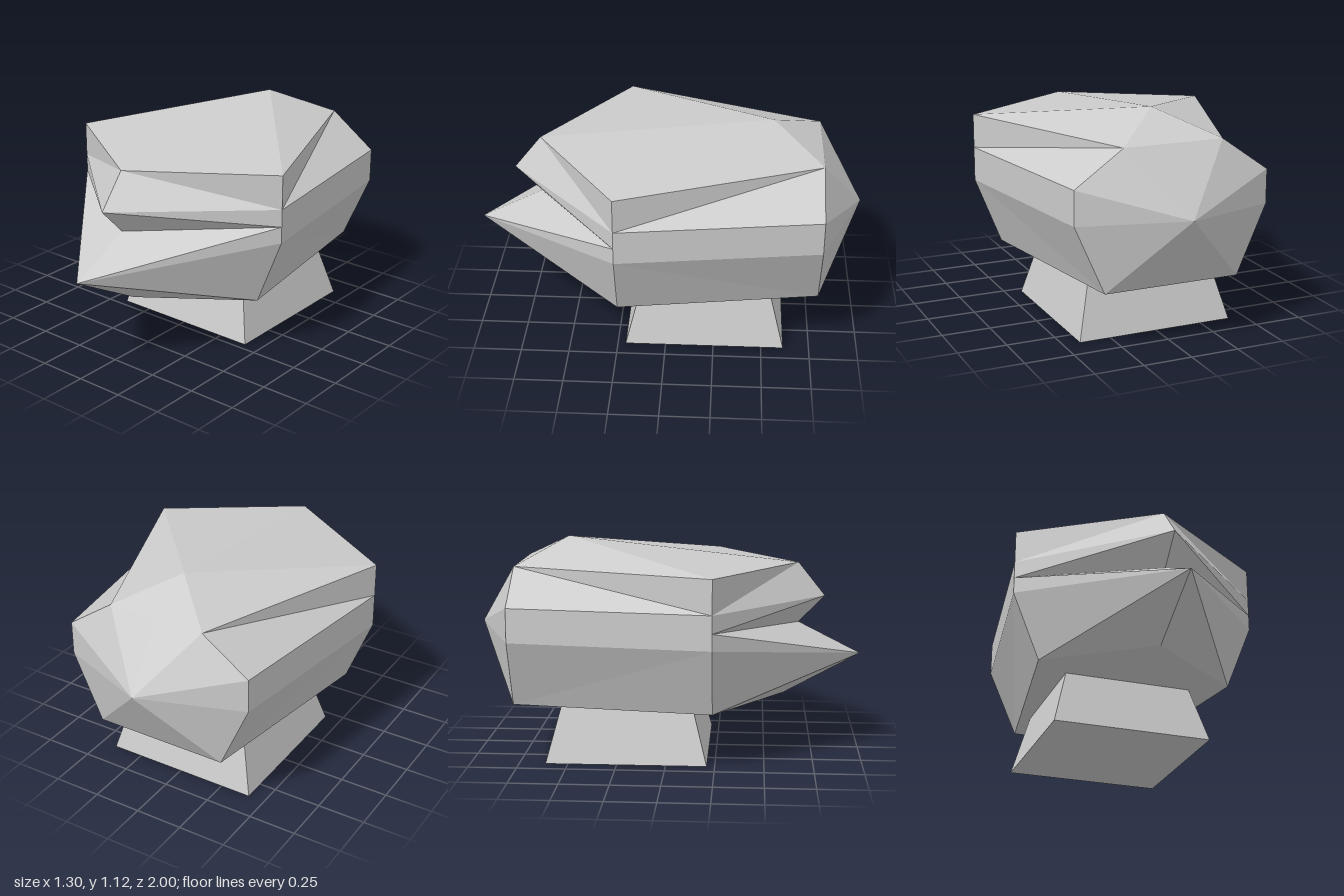
import * as THREE from 'three';

const material = new THREE.MeshStandardMaterial({ color: 0xcccccc, flatShading: true });

// Corners of the left half of the head; the right half is mirrored
const P = {
  browFront: [0, 0.995, 0.67], browSide: [0.65, 0.995, 0.24],
  crown: [0, 1.125, -0.535], crownBack: [0.26, 0.995, -0.785], crownBackMid: [0, 0.995, -0.785],
  lipFront: [0, 0.82, 0.81], lipSide: [0.65, 0.82, 0.24],
  mouthFront: [0, 0.68, 0.675], mouthSide: [0.65, 0.73, 0.24],
  jawFront: [0, 0.515, 1], jawSide: [0.65, 0.645, 0.24],
  chinFront: [0, 0.295, 0.6], chinSide: [0.51, 0.295, 0.24],
  backUpper: [0.51, 0.82, -0.785], backLower: [0.51, 0.645, -0.785],
  baseBack: [0.355, 0.295, -0.785], baseBackMid: [0, 0.295, -0.785],
  rear: [0, 0.67, -1],
};

// Builds a mesh from named polygons and their mirror images
function mirroredMesh(name, faces) {
  const pos = [];
  for (const face of faces) {
    const c = face.split(' ').map((k) => P[k]);
    for (let i = 1; i < c.length - 1; i++) {
      pos.push(...c[0], ...c[i], ...c[i + 1]);
      for (const [x, y, z] of [c[0], c[i + 1], c[i]]) pos.push(-x, y, z);
    }
  }
  const geometry = new THREE.BufferGeometry();
  geometry.setAttribute('position', new THREE.Float32BufferAttribute(pos, 3));
  geometry.computeVertexNormals();
  const mesh = new THREE.Mesh(geometry, material);
  mesh.name = name;
  return mesh;
}

export function createModel() {
  const model = new THREE.Group();
  model.name = 'headOnStand';

  model.add(
    mirroredMesh('crown', [
      'browFront browSide crown',
      'browSide crownBack crown',
      'crown crownBack crownBackMid',
    ]),
    mirroredMesh('upperLip', ['browFront lipFront lipSide browSide']),
    mirroredMesh('mouth', [
      'lipFront mouthFront mouthSide lipSide',
      'mouthFront jawFront mouthSide',
      'jawFront jawSide mouthSide',
    ]),
    mirroredMesh('lowerJaw', [
      'jawFront chinFront chinSide',
      'jawFront chinSide jawSide',
    ]),
    mirroredMesh('sides', [
      'browSide lipSide crownBack',
      'lipSide backUpper crownBack',
      'lipSide jawSide backLower backUpper',
      'jawSide chinSide baseBack',
      'jawSide baseBack backLower',
    ]),
    mirroredMesh('backOfHead', [
      'crownBackMid crownBack rear',
      'crownBack backUpper rear',
      'backUpper backLower rear',
      'backLower baseBack rear',
      'baseBack baseBackMid rear',
    ]),
    mirroredMesh('underside', [
      'chinFront baseBackMid baseBack',
      'chinFront baseBack chinSide',
    ]),
  );

  // Square tapered neck
  const geometry = new THREE.CylinderGeometry(0.335 * Math.SQRT2, 0.4125 * Math.SQRT2, 0.295, 4);
  geometry.rotateY(Math.PI / 4);
  const neck = new THREE.Mesh(geometry, material);
  neck.name = 'neck';
  neck.position.set(0, 0.1475, -0.203);
  model.add(neck);

  return model;
}
